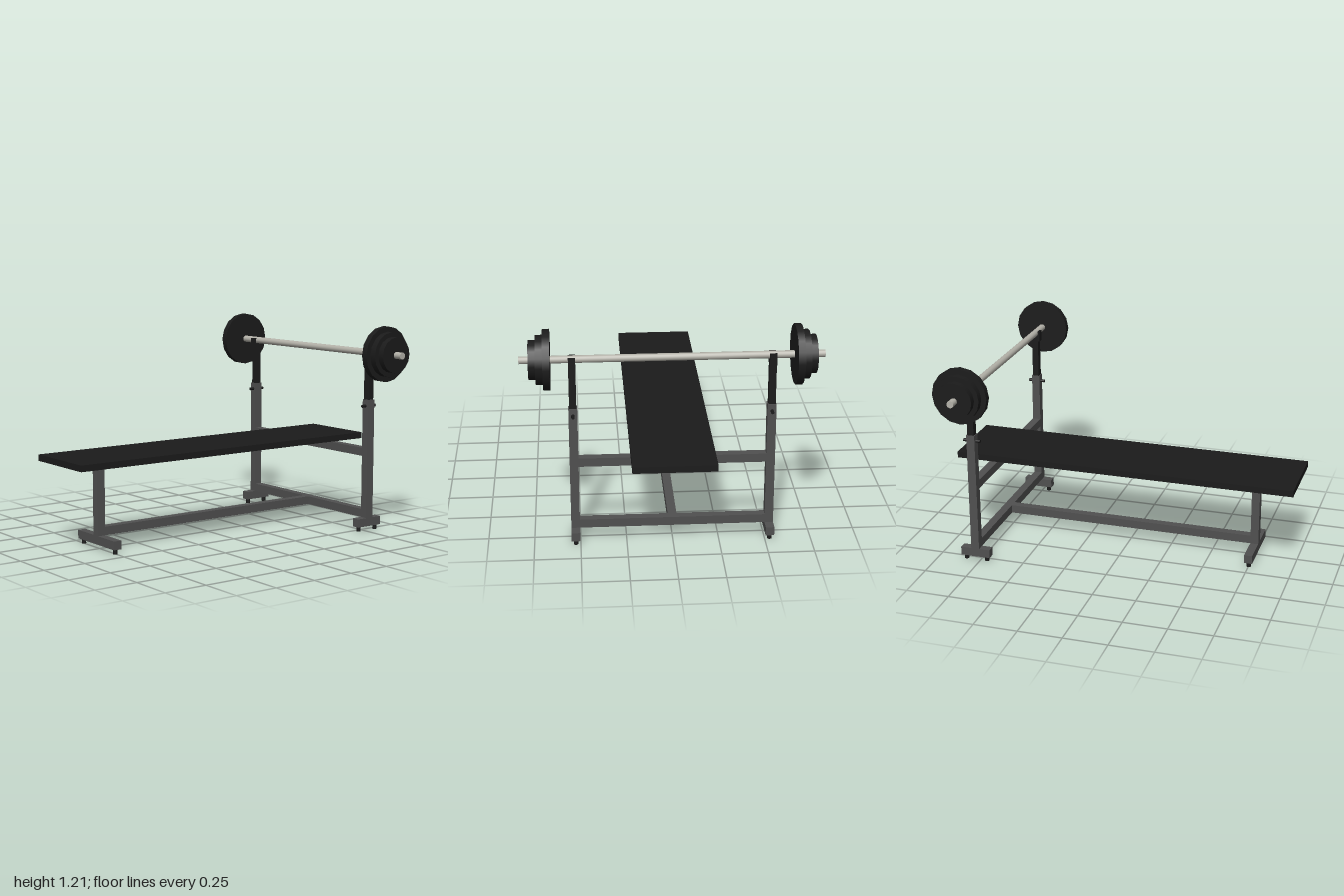
import * as THREE from 'three';

export function createModel() {
  const model = new THREE.Group();
  model.name = 'weightBench';

  const material = (name, color) => {
    const m = new THREE.MeshStandardMaterial({ color });
    m.name = name;
    return m;
  };
  const black = material('black', 0x1b1b1b);
  const underside = material('boardUnderside', 0x3a3a3a);
  const steel = material('greySteel', 0x505050);
  const chrome = material('barMetal', 0xb4b2a9);

  const add = (name, geometry, mat, x, y, z) => {
    const mesh = new THREE.Mesh(geometry, mat);
    mesh.name = name;
    mesh.position.set(x, y, z);
    model.add(mesh);
    return mesh;
  };
  // Box given by its minimum and maximum on each axis
  const box = (name, mat, [x0, x1], [y0, y1], [z0, z1]) =>
    add(name, new THREE.BoxGeometry(x1 - x0, y1 - y0, z1 - z0), mat,
      (x0 + x1) / 2, (y0 + y1) / 2, (z0 + z1) / 2);
  const cap = (x, z) =>
    add('footCap', new THREE.CylinderGeometry(0.0125, 0.0125, 0.028, 12), black, x, 0.014, z);

  const rackX = 0.774, barY = 1.05;
  const tube = [rackX - 0.024, rackX + 0.024];

  // Padded board; the face order is +x, -x, +y, -y, +z, -z
  box('benchBoard', [black, black, black, underside, black, black],
    [-1, 1], [0.49, 0.526], [-0.225, 0.225]);

  // End leg with its cross foot, and the long floor beam
  box('endLeg', steel, [-0.774, -0.727], [0.077, 0.49], [-0.024, 0.024]);
  box('endFoot', steel, [-0.774, -0.727], [0.028, 0.077], [-0.187, 0.187]);
  box('floorBeam', steel, [-0.727, tube[0]], [0.077, 0.125], [-0.024, 0.024]);

  // Cross bars between the uprights
  box('lowerCrossBar', steel, tube, [0.077, 0.125], [-0.503, 0.503]);
  box('upperCrossBar', steel, tube, [0.442, 0.49], [-0.503, 0.503]);

  for (const s of [-1, 1]) {
    cap(-0.751, s * 0.163);

    // Upright with foot
    const z = s * 0.526;
    const depth = [z - 0.0235, z + 0.0235], inner = [z - 0.019, z + 0.019];
    box('upright', steel, tube, [0.077, 0.776], depth);
    box('uprightFoot', steel, [0.687, 0.861], [0.028, 0.077], depth);
    cap(0.711, z);
    cap(0.837, z);

    // Sliding post, locking pin and bar cradle
    box('slidingPost', black, [rackX - 0.019, rackX + 0.019], [0.776, 1.028], inner);
    const pin = add('lockingPin', new THREE.CylinderGeometry(0.009, 0.009, 0.1, 12), black, rackX, 0.739, z);
    pin.rotation.z = Math.PI / 2;
    for (const side of [-1, 1]) {
      const a = rackX + side * 0.018, b = rackX + side * 0.03;
      box('cradleProng', black, [Math.min(a, b), Math.max(a, b)], [1.0, 1.063], inner);
    }

    // Weight plates, largest innermost
    [[0.16, 0.638, 0.675], [0.13, 0.675, 0.713], [0.103, 0.713, 0.75]].forEach(([r, z0, z1]) => {
      const plate = add('weightPlate', new THREE.CylinderGeometry(r, r, z1 - z0, 16), black,
        rackX, barY, s * (z0 + z1) / 2);
      plate.rotation.x = Math.PI / 2;
    });
  }

  // Barbell
  const bar = add('barbellBar', new THREE.CylinderGeometry(0.02, 0.02, 1.6, 16), chrome, rackX, barY, 0);
  bar.rotation.x = Math.PI / 2;

  return model;
}
